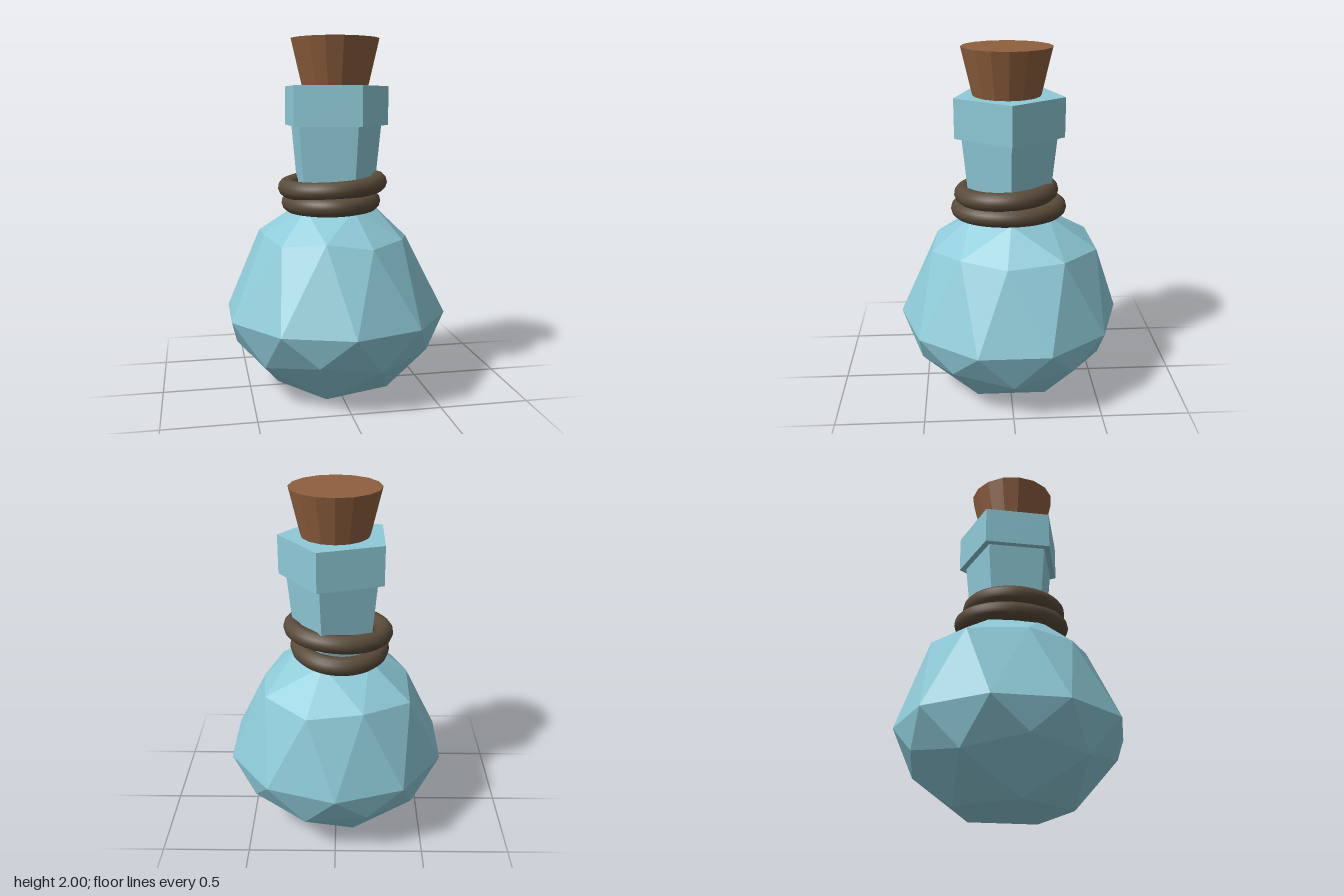
import * as THREE from 'three';

const glass = new THREE.MeshStandardMaterial({ name: 'paleBlueGlass', color: 0x8ecad8, flatShading: true });
const corkBrown = new THREE.MeshStandardMaterial({ name: 'corkBrown', color: 0x8f5f3d, flatShading: true });
const ropeBrown = new THREE.MeshStandardMaterial({ name: 'ropeBrown', color: 0x5a4b3a });

// Evenly spaced horizontal ring; angles run from +x toward +z
function ring(count, r, y, startDeg) {
  return Array.from({ length: count }, (_, i) => {
    const a = THREE.MathUtils.degToRad(startDeg + (i * 360) / count);
    return [r * Math.cos(a), y, r * Math.sin(a)];
  });
}

// Faceted flask: a once-subdivided icosahedron, drawn up to the neck and flattened below
function flaskGeometry() {
  const shoulder = ring(5, 0.23, 1.06, 0);
  const upper = [
    [0.42, 0.875, 0.03], [0.33, 0.9, 0.28], [0.13, 0.88, 0.44], [-0.12, 0.91, 0.415], [-0.34, 0.88, 0.28],
    [-0.41, 0.91, 0.03], [-0.41, 0.88, -0.3], [-0.15, 0.9, -0.465], [0.155, 0.88, -0.49], [0.39, 0.9, -0.28],
  ];
  const belly = ring(10, 0.64, 0.45, 18);
  const lower = ring(10, 1, 0, 0).map(([x, , z], i) => {
    const r = i % 2 ? 0.572 : 0.544;
    return [x * r, i % 2 ? 0.28 : 0.225, z * r];
  });
  const base = ring(5, 0.336, 0.02, 36);
  const bottom = [0, 0, 0];
  const out = [];
  const tri = (a, b, c) => out.push(...a, ...b, ...c);

  for (let k = 0; k < 5; k++) {
    const n = (k + 1) % 5, i = 2 * k, m = i + 1, j = (i + 2) % 10, q = (i + 3) % 10;
    // shoulder to upper ring
    tri(shoulder[k], upper[m], upper[i]);
    tri(shoulder[k], shoulder[n], upper[m]);
    tri(shoulder[n], upper[j], upper[m]);
    // lower ring to base
    tri(base[k], lower[m], lower[j]);
    tri(base[k], lower[i], lower[m]);
    tri(base[k], lower[j], base[n]);
    tri(base[n], lower[j], lower[q]);
    out.splice(out.length - 27, 9); // drop the duplicate of the fan below
    tri(base[k], base[n], bottom);
  }
  // bands above and below the belly
  for (let i = 0; i < 10; i++) {
    const n = (i + 1) % 10;
    tri(upper[i], upper[n], belly[i]);
    tri(belly[i], upper[n], belly[n]);
    tri(belly[i], lower[n], lower[i]);
    tri(belly[i], belly[n], lower[n]);
  }
  const g = new THREE.BufferGeometry();
  g.setAttribute('position', new THREE.Float32BufferAttribute(out, 3));
  g.computeVertexNormals();
  return g;
}

// Closed, slightly tilted rope loop
function ropeGeometry(cx, cz, rx, rz, y, slopeX, slopeZ) {
  const pts = ring(24, 1, 0, 0).map(([c, , s]) =>
    new THREE.Vector3(cx + rx * c, y + slopeX * c + slopeZ * s, cz + rz * s));
  return new THREE.TubeGeometry(new THREE.CatmullRomCurve3(pts, true), 64, 0.052, 12, true);
}

// Upright tapered prism with a corner on +x
function prism(rTop, rBottom, y0, y1, sides) {
  return new THREE.CylinderGeometry(rTop, rBottom, y1 - y0, sides)
    .rotateY(Math.PI / 2).translate(0, (y0 + y1) / 2, 0);
}

export function createModel() {
  const model = new THREE.Group();
  model.name = 'corkedBottle';
  const add = (name, geometry, material) => {
    const mesh = new THREE.Mesh(geometry, material);
    mesh.name = name;
    model.add(mesh);
  };
  add('flask', flaskGeometry(), glass);
  add('neck', prism(0.277, 0.228, 1.05, 1.53, 5), glass);
  add('lip', prism(0.317, 0.317, 1.52, 1.74, 5), glass);
  add('cork', prism(0.25, 0.18, 1.7, 2, 16).translate(0.004, 0, 0.01), corkBrown);
  add('lowerRope', ropeGeometry(-0.02, 0, 0.23, 0.28, 1.09, 0.008, -0.003), ropeBrown);
  add('upperRope', ropeGeometry(-0.012, 0.015, 0.26, 0.245, 1.188, 0.018, -0.012), ropeBrown);
  return model;
}
